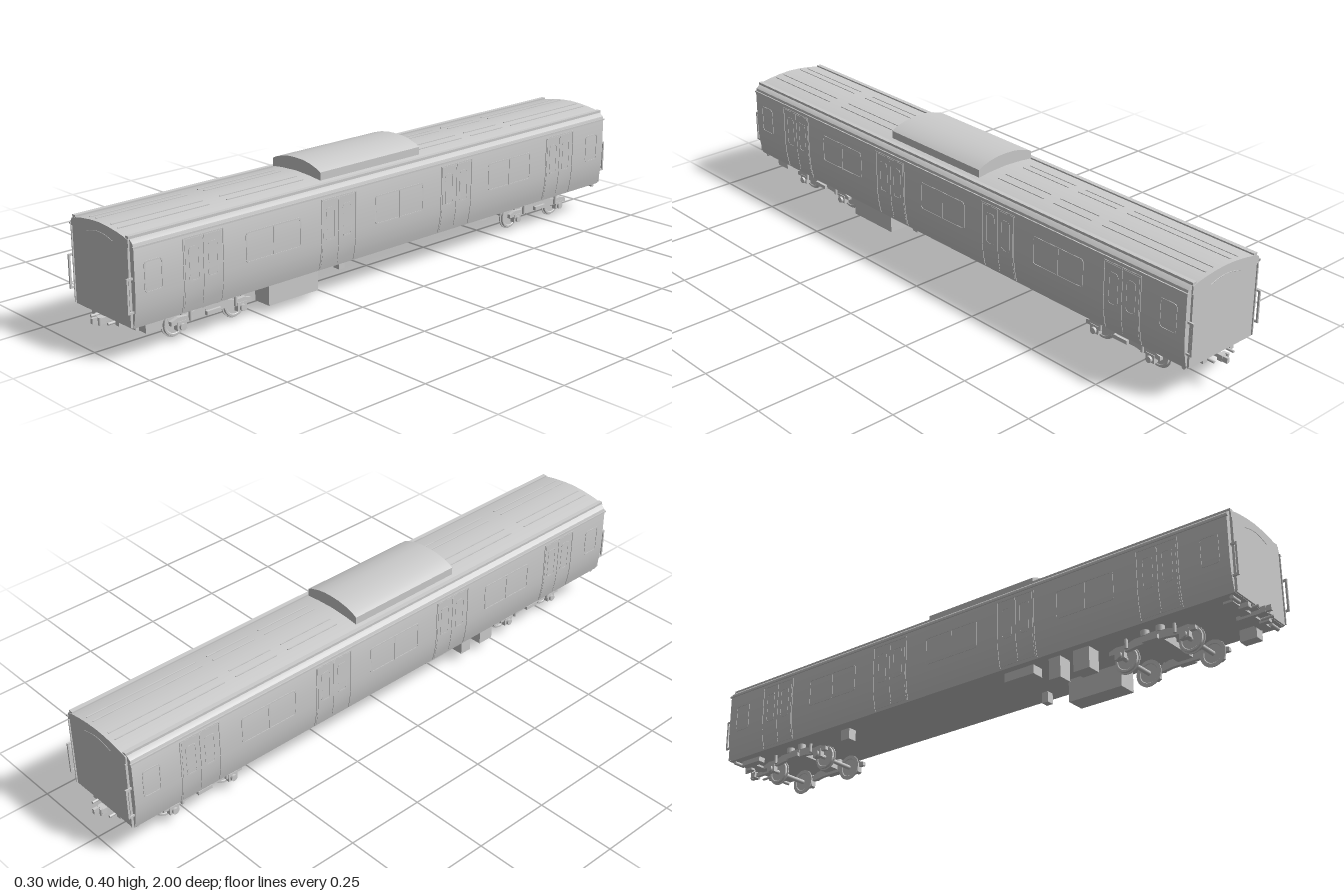
import * as THREE from 'three';
import { toCreasedNormals } from 'three/addons/utils/BufferGeometryUtils.js';

const mat = new THREE.MeshStandardMaterial({ color: 0xcccccc });
const SIDE = [[0.131, 0.096], [0.137, 0.12], [0.142, 0.15], [0.1445, 0.18], [0.145, 0.21], [0.145, 0.322]];
const ROOF = [[0.142, 0.333], [0.13, 0.343], [0.11, 0.3475], [0.08, 0.353], [0.04, 0.358], [0, 0.36]];

function add(parent, name, geo, x = 0, y = 0, z = 0) {
  const m = new THREE.Mesh(geo, mat);
  m.name = name;
  m.position.set(x, y, z);
  parent.add(m);
  return m;
}
const box = (p, name, w, h, d, x, y, z) => add(p, name, new THREE.BoxGeometry(w, h, d), x, y, z);
const rodX = (r, len, n = 20) => new THREE.CylinderGeometry(r, r, len, n).rotateZ(Math.PI / 2);

// Linear lookup in a list of [value, key] pairs
function lookup(list, key, k, v) {
  for (let i = 1; i < list.length; i++) {
    const a = list[i - 1], b = list[i];
    if ((key - a[k]) * (key - b[k]) <= 0) return a[v] + (b[v] - a[v]) * (key - a[k]) / (b[k] - a[k]);
  }
  return list[0][v];
}
const sideX = y => lookup(SIDE, y, 1, 0);
const roofY = x => lookup(ROOF, Math.abs(x), 0, 1);

// Symmetric cross-section in x/y, extruded along z and centred
function prism(half, length) {
  const pts = [...half, ...half.filter(p => p[0] > 0).reverse().map(([x, y]) => [-x, y])];
  const geo = new THREE.ExtrudeGeometry(new THREE.Shape(pts.map(p => new THREE.Vector2(...p))),
    { depth: length, bevelEnabled: false });
  return toCreasedNormals(geo.translate(0, 0, -length / 2), 0.5);
}

// Push a thin piece, drawn around x = 0, out onto the curved side wall
function bend(geo) {
  const p = geo.attributes.position;
  for (let i = 0; i < p.count; i++) p.setX(i, p.getX(i) + sideX(p.getY(i)));
  geo.computeVertexNormals();
  return geo;
}

function roundRect(target, z, y, w, h, r) {
  const a = z - w / 2, b = z + w / 2, c = y - h / 2, d = y + h / 2;
  target.moveTo(a + r, c);
  target.lineTo(b - r, c).quadraticCurveTo(b, c, b, c + r);
  target.lineTo(b, d - r).quadraticCurveTo(b, d, b - r, d);
  target.lineTo(a + r, d).quadraticCurveTo(a, d, a, d - r);
  target.lineTo(a, c + r).quadraticCurveTo(a, c, a + r, c);
  return target;
}

// Flat outline in z/y extruded along x
function plateX(shape, depth) {
  return new THREE.ExtrudeGeometry(shape, { depth, bevelEnabled: false, curveSegments: 5 })
    .translate(0, 0, -depth / 2).rotateY(-Math.PI / 2);
}

function windowFrame(parent, z, y, w, h, depth = 0.003) {
  const s = roundRect(new THREE.Shape(), z, y, w, h, 0.012);
  s.holes.push(roundRect(new THREE.Path(), z, y, w - 0.008, h - 0.008, 0.009));
  add(parent, 'windowFrame', bend(plateX(s, depth)));
}

function panel(parent, name, z, y0, y1, w, t) {
  add(parent, name, bend(new THREE.BoxGeometry(t, y1 - y0, w, 1, 10, 1).translate(0, (y0 + y1) / 2, z)));
}

// Doors, windows, gutter and rails of one side wall
function makeSide() {
  const g = new THREE.Group();
  for (const z of [-0.735, -0.245, 0.245, 0.735]) {
    for (const s of [-1, 1]) {
      panel(g, 'doorLeaf', z + s * 0.032, 0.105, 0.308, 0.06, 0.002);
      windowFrame(g, z + s * 0.032, 0.235, 0.036, 0.1, 0.004);
      panel(g, 'doorEdge', z + s * 0.067, 0.1, 0.31, 0.003, 0.004);
    }
    panel(g, 'doorSeal', z, 0.115, 0.3, 0.003, 0.004);
    box(g, 'doorHeader', 0.003, 0.004, 0.137, 0.145, 0.311, z);
  }
  for (const z of [-0.49, 0, 0.49]) {
    windowFrame(g, z, 0.235, 0.2, 0.09);
    box(g, 'windowDivider', 0.003, 0.086, 0.005, 0.145, 0.235, z);
  }
  for (const z of [-0.9, 0.9]) windowFrame(g, z, 0.235, 0.06, 0.09);
  box(g, 'gutter', 0.006, 0.005, 1.926, 0.145, 0.323, 0);
  box(g, 'roofRail', 0.014, 0.008, 1.926, 0.122, 0.347, 0);
  return g;
}

// End wall fittings and coupling, built for the +z end
function makeEnd() {
  const g = new THREE.Group();
  for (const s of [-1, 1]) {
    box(g, 'cornerStrip', 0.003, 0.22, 0.006, s * 0.13, 0.21, 0.966);
    box(g, 'handrail', 0.005, 0.1, 0.006, s * 0.135, 0.19, 0.977);
    for (const y of [0.143, 0.237]) box(g, 'handrailMount', 0.005, 0.006, 0.024, s * 0.135, y, 0.968);
    add(g, 'jumperCylinder', rodX(0.006, 0.04), s * 0.104, 0.09, 0.945);
    box(g, 'jumperBracket', 0.016, 0.016, 0.03, s * 0.055, 0.09, 0.945);
    add(g, 'airHose', new THREE.CylinderGeometry(0.004, 0.004, 0.04, 10).rotateX(Math.PI / 2), s * 0.04, 0.088, 0.96);
  }
  const arch = new THREE.CatmullRomCurve3([[-0.06, 0.322], [-0.03, 0.33], [0, 0.333], [0.03, 0.33], [0.06, 0.322]]
    .map(([x, y]) => new THREE.Vector3(x, y, 0.965)));
  add(g, 'endArch', new THREE.TubeGeometry(arch, 16, 0.0012, 6));
  box(g, 'headstock', 0.2, 0.008, 0.03, 0, 0.093, 0.92);
  box(g, 'couplerShank', 0.012, 0.012, 0.09, 0, 0.088, 0.935);
  box(g, 'couplerHead', 0.026, 0.018, 0.016, 0, 0.088, 0.975);
  box(g, 'couplerJaw', 0.009, 0.016, 0.02, -0.007, 0.088, 0.99);
  add(g, 'couplerPin', new THREE.CylinderGeometry(0.005, 0.005, 0.022, 12), 0.008, 0.088, 0.984);
  return g;
}

function makeBogie() {
  const g = new THREE.Group();
  // Arched side frame in z/y, drawn over half its length
  const half = [[0.14, 0.05], [0.14, 0.062], [0.115, 0.07], [0.085, 0.068], [0.055, 0.078], [0, 0.078]];
  const low = [[0, 0.054], [0.045, 0.054], [0.075, 0.05]];
  const mirror = list => [...list].reverse().filter(p => p[0] > 0).map(([z, y]) => [-z, y]);
  const outline = [...low, ...half, ...mirror(half), ...mirror(low)];
  const frame = plateX(new THREE.Shape(outline.map(p => new THREE.Vector2(...p))), 0.012);
  const wheel = new THREE.LatheGeometry([[0, -0.003], [0.028, -0.003], [0.03, -0.005], [0.041, -0.005], [0.041, -0.002],
    [0.037, -0.001], [0.036, 0.005], [0.03, 0.005], [0.028, 0.003], [0, 0.003]]
    .map(p => new THREE.Vector2(...p)), 32).rotateZ(-Math.PI / 2);
  const wheelGeo = toCreasedNormals(wheel, 0.5);
  for (const z of [-0.105, 0.105]) {
    add(g, 'axle', rodX(0.007, 0.18), 0, 0.041, z);
    for (const s of [-1, 1]) {
      add(g, 'wheel', wheelGeo, s * 0.057, 0.041, z).rotation.y = s < 0 ? Math.PI : 0;
      box(g, 'axleBox', 0.016, 0.026, 0.032, s * 0.088, 0.045, z);
      add(g, 'axleCap', rodX(0.01, 0.01), s * 0.098, 0.042, z);
      add(g, 'damper', new THREE.CylinderGeometry(0.005, 0.005, 0.028, 12), s * 0.099, 0.068, z * 0.75);
    }
  }
  for (const s of [-1, 1]) {
    add(g, 'sideFrame', frame, s * 0.088);
    for (const z of [-0.025, 0.025])
      add(g, 'airSpring', new THREE.CylinderGeometry(0.013, 0.013, 0.018, 16), s * 0.085, 0.087, z);
    box(g, 'springSeat', 0.022, 0.012, 0.05, s * 0.093, 0.06, 0);
  }
  box(g, 'bolster', 0.19, 0.018, 0.05, 0, 0.072, 0);
  add(g, 'centrePivot', new THREE.CylinderGeometry(0.02, 0.02, 0.03, 20), 0, 0.085, 0);
  return g;
}

export function createModel() {
  const model = new THREE.Group();
  model.name = 'railwayCarriage';

  // Body shell with slightly proud end walls
  add(model, 'bodyShell', prism([...SIDE, ...ROOF], 1.92));
  add(model, 'endWalls', prism([[0.129, 0.097], [0.129, 0.342], ...ROOF.slice(2)], 1.93));

  // Two identical sides and two identical ends
  for (const turn of [0, Math.PI]) {
    const side = makeSide(), end = makeEnd();
    side.name = turn ? 'rightSide' : 'leftSide';
    end.name = turn ? 'backEnd' : 'frontEnd';
    side.rotation.y = end.rotation.y = turn;
    model.add(side, end);
  }

  // Ribbed roof sections
  for (const [z0, z1] of [[-0.95, -0.58], [-0.54, -0.39], [-0.35, -0.16], [0.31, 0.59], [0.65, 0.95]])
    for (const x of [0.035, 0.065])
      for (const s of [-1, 1])
        box(model, 'roofRib', 0.004, 0.003, z1 - z0, s * x, roofY(x) + 0.0005, (z0 + z1) / 2);

  // Rooftop equipment pod
  const pod = [[0, 0.363], [0.06, 0.36], [0.105, 0.355], [0.105, 0.379], [0.09, 0.387], [0.06, 0.396], [0.03, 0.401], [0, 0.402]];
  const podShape = [...pod, ...pod.slice(1, -1).reverse().map(([x, y]) => [-x, y])];
  const podGeo = new THREE.ExtrudeGeometry(new THREE.Shape(podShape.map(p => new THREE.Vector2(...p))),
    { depth: 0.4, bevelEnabled: false });
  add(model, 'roofPod', toCreasedNormals(podGeo, 0.5), 0, 0, -0.12);
  for (const z of [-0.06, 0.22]) box(model, 'podMount', 0.16, 0.02, 0.03, 0, 0.356, z);

  // Bogies
  for (const z of [0.673, -0.698]) {
    const bogie = makeBogie();
    bogie.name = z > 0 ? 'frontBogie' : 'backBogie';
    bogie.position.z = z;
    model.add(bogie);
  }

  // Underfloor boxes: x0, x1, lowest y, z0, z1
  for (const [x0, x1, y, z0, z1] of [
    [0.045, 0.107, 0.025, 0.295, 0.48], [-0.107, -0.06, 0.03, 0.42, 0.475], [-0.107, -0.06, 0.03, 0.335, 0.375],
    [-0.107, -0.065, 0.068, 0.175, 0.28], [0.07, 0.095, 0.062, 0.178, 0.2],
    [0.075, 0.107, 0.06, 0.853, 0.906], [-0.095, -0.065, 0.06, -0.49, -0.455], [-0.105, -0.08, 0.08, -0.93, -0.85],
  ]) box(model, 'underfloorBox', x1 - x0, 0.1 - y, z1 - z0, (x0 + x1) / 2, (0.1 + y) / 2, (z0 + z1) / 2);

  return model;
}
